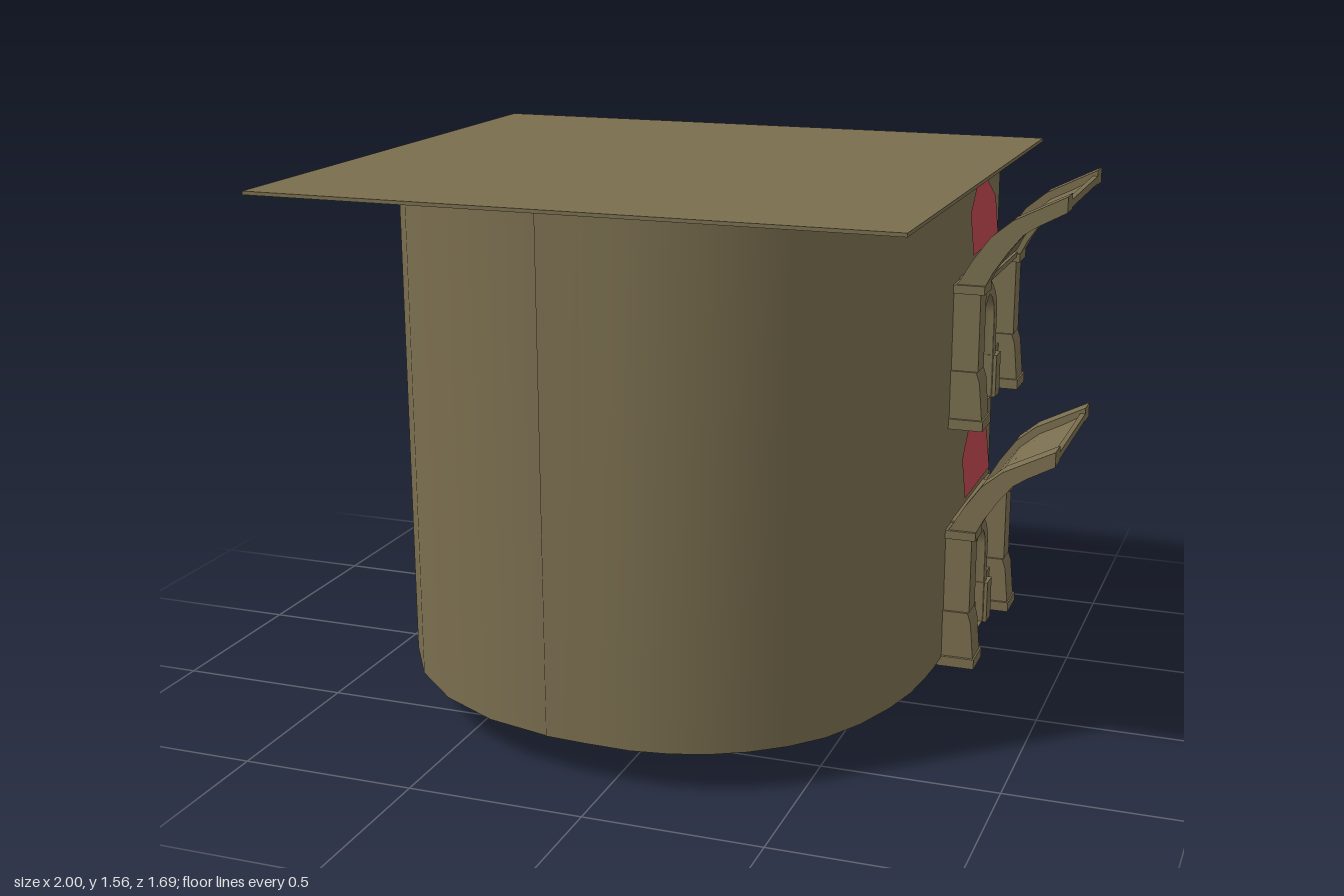
import * as THREE from 'three';
import { toCreasedNormals } from 'three/addons/utils/BufferGeometryUtils.js';

const stone = new THREE.MeshStandardMaterial({ color: 0x7a6e4f, side: THREE.DoubleSide });
stone.name = 'stone';
const glass = new THREE.MeshStandardMaterial({ color: 0xbc474e, side: THREE.DoubleSide });
glass.name = 'redGlass';
const carpet = new THREE.MeshStandardMaterial({ color: 0x743037, side: THREE.DoubleSide });
carpet.name = 'redCarpet';

const CX = -0.09, CZ = 0.02, R = 0.787, TOP = 1.555, RIM = 0.115;
const TIERS = [0.09, 0.82];

function add(parent, name, geo, mat = stone) {
  const m = new THREE.Mesh(geo, mat);
  m.name = name;
  parent.add(m);
  return m;
}

// box given by its min and max corners
function box(parent, name, x0, x1, y0, y1, z0, z1, mat) {
  const g = new THREE.BoxGeometry(x1 - x0, y1 - y0, z1 - z0);
  g.translate((x0 + x1) / 2, (y0 + y1) / 2, (z0 + z1) / 2);
  return add(parent, name, g, mat);
}

const polygon = pts => new THREE.Shape(pts.map(p => new THREE.Vector2(...p)));

// front outline (x, y) extruded forward from z
function plate(parent, name, pts, z, depth) {
  const g = new THREE.ExtrudeGeometry(polygon(pts), { depth, bevelEnabled: false });
  add(parent, name, g).position.z = z;
}

// side profile (outward, up) extruded between two positions across the unit
function profile(parent, name, pts, u0, u1) {
  const g = new THREE.ExtrudeGeometry(polygon(pts), { depth: u1 - u0, bevelEnabled: false });
  g.rotateY(-Math.PI / 2);
  g.translate(u1, 0, 0);
  return add(parent, name, toCreasedNormals(g, 0.6));
}

// pointed arch outline standing on y = base
function pointed(path, w, base, spring, peak) {
  path.moveTo(-w, base);
  path.lineTo(-w, spring);
  path.quadraticCurveTo(-w * 0.9, spring + (peak - spring) * 0.65, 0, peak);
  path.quadraticCurveTo(w * 0.9, spring + (peak - spring) * 0.65, w, spring);
  path.lineTo(w, base);
  path.closePath();
  return path;
}

// gabled window pane, leaning back about its peak
function fanlight(parent, w, base, spring, peak, lean) {
  const k = w * 0.36, h = -0.04;
  const g = new THREE.ShapeGeometry(polygon([[-w, base - peak], [w, base - peak], [w, spring - peak],
    [k, h], [0, 0], [-k, h], [-w, spring - peak]]));
  const m = add(parent, 'fanlight', g, glass);
  m.rotation.x = -lean;
  m.position.set(0, peak, 0.005);
}

// arcade: pillars, flaring canopy, pointed doorway
function arcade() {
  const g = new THREE.Group();
  g.name = 'arcade';
  const lower = [[0.09, 0.42], [0.11, 0.46], [0.15, 0.52], [0.19, 0.57], [0.23, 0.597], [0.31, 0.64]];
  const upper = [[0.31, 0.685], [0.23, 0.645], [0.16, 0.61], [0.1, 0.56], [0.05, 0.49], [0.015, 0.43], [0, 0.41]];
  for (const s of [-1, 1]) {
    const pillar = new THREE.Group();
    pillar.name = 'pillar';
    pillar.position.x = s * 0.25;
    g.add(pillar);
    box(pillar, 'pillarFoot', -0.055, 0.055, 0, 0.03, -0.01, 0.1);
    profile(pillar, 'pillarBase', [[-0.01, 0.03], [0.095, 0.03], [0.085, 0.14], [0.075, 0.17], [-0.01, 0.17]], -0.046, 0.046);
    box(pillar, 'pillarShaft', -0.038, 0.038, 0.17, 0.4, -0.01, 0.078);
    box(pillar, 'pillarCapital', -0.046, 0.046, 0.395, 0.42, -0.01, 0.09);
    profile(pillar, 'canopyRib', [...lower, ...upper], -0.036, 0.036);
    // door jamb and the low block beside it
    box(g, 'jambBase', s * 0.115 - 0.03, s * 0.115 + 0.03, 0, 0.13, -0.01, 0.055);
    box(g, 'wallBlock', s * 0.17 - 0.04, s * 0.17 + 0.04, 0.04, 0.14, -0.01, 0.035);
  }
  // canopy web between the ribs
  const web = [...lower.map(([a, b]) => [a - 0.012, b + 0.012]),
    ...upper.map(([a, b], i) => [a + (i ? 0.012 : 0), b - 0.02])];
  profile(g, 'canopy', web, -0.22, 0.22);
  profile(g, 'lintelBeam', [[-0.01, 0.385], [0.03, 0.385], [0.08, 0.41], [0.08, 0.425], [-0.01, 0.425]], -0.22, 0.22);
  box(g, 'canopyEdge', -0.22, 0.22, 0.645, 0.667, 0.295, 0.31);
  const surround = pointed(new THREE.Shape(), 0.12, 0, 0.27, 0.385);
  surround.holes.push(pointed(new THREE.Path(), 0.088, 0.0005, 0.26, 0.345));
  add(g, 'doorArch', toCreasedNormals(new THREE.ExtrudeGeometry(surround,
    { depth: 0.035, bevelEnabled: true, bevelThickness: 0.01, bevelSize: 0.008, bevelOffset: -0.008,
      bevelSegments: 2, curveSegments: 8 }), 0.7));
  fanlight(g, 0.17, 0.48, 0.6, 0.71, 0.1);
  return g;
}

// sector of a ring in plan, from angle a0 to a1 (0 = +x, 90 degrees = -z)
function sector(r0, r1, a0, a1, h) {
  const s = new THREE.Shape();
  s.absarc(0, 0, r1, a0, a1, false);
  s.absarc(0, 0, r0, a1, a0, true);
  s.closePath();
  const g = new THREE.ExtrudeGeometry(s, { depth: h, bevelEnabled: false, curveSegments: 2 });
  return g.rotateX(-Math.PI / 2);
}

export function createModel() {
  const model = new THREE.Group();
  model.name = 'stairTower';

  // roof slab
  box(model, 'roofSlab', -1, 0.79, 1.55, 1.56, -0.845, 0.845);

  // left curved wall, from the back edge round to the front seam
  const rad = Math.PI / 180, H = TOP - RIM, MID = (TOP + RIM) / 2;
  const left = new THREE.CylinderGeometry(R, R, H, 10, 1, true, -153.4 * rad, 147 * rad);
  add(model, 'leftCurvedWall', left).position.set(CX, MID, CZ);

  // right curved wall, fuller in plan, from the seam to the flat side
  const plan = new THREE.CatmullRomCurve3([[-0.185, 0.803], [0.1, 0.81], [0.33, 0.735], [0.53, 0.56],
    [0.655, 0.27], [0.69, 0], [0.69, -0.15]].map(([x, z]) => new THREE.Vector3(x, 0, z)));
  const right = new THREE.PlaneGeometry(1, H, 14, 1);
  const rp = right.attributes.position;
  for (let i = 0; i < rp.count; i++) {
    const q = plan.getPoint(rp.getX(i) + 0.5);
    rp.setX(i, q.x);
    rp.setZ(i, q.z);
  }
  right.computeVertexNormals();
  add(model, 'rightCurvedWall', right).position.y = MID;

  // flat side wall with two doorways
  const side = polygon([[-0.25, 0.09], [0.3, 0.09], [0.3, TOP], [-0.25, TOP]]);
  for (const y of TIERS) side.holes.push(pointed(new THREE.Path(), 0.088, y + 0.002, y + 0.26, y + 0.345));
  const sideWall = add(model, 'sideWall', new THREE.ShapeGeometry(side, 8));
  sideWall.rotation.y = Math.PI / 2;
  sideWall.position.set(0.69, 0, -0.4);

  // flat back wall, with a shallow cove along its foot
  box(model, 'backWall', -0.45, 0.69, 0.5, TOP, -0.7, -0.69);
  const cove = new THREE.PlaneGeometry(1.14, 0.385, 6, 8);
  const p = cove.attributes.position;
  for (let i = 0; i < p.count; i++) {
    const t = 0.5 - p.getY(i) / 0.385, fade = 0.5 - p.getX(i) / 1.14;
    p.setZ(i, 0.03 * fade * t * t * t - 0.025 * Math.sin(Math.PI * t));
  }
  cove.computeVertexNormals();
  cove.rotateY(Math.PI);
  add(model, 'backCove', cove).position.set(0.12, 0.3075, -0.7);

  // arcades on the right side, shallow pilasters on the back
  TIERS.forEach((y, i) => {
    const a = arcade();
    a.rotation.y = Math.PI / 2;
    a.position.set(0.69, y, -0.4);
    model.add(a);
    const d = i ? 0 : 0.02;
    for (const [x, w] of [[0.645, 0.045], [0.11, 0.012], [-0.04, 0.018]]) {
      box(model, 'backPilaster', x - w, x + w, y + 0.15, y + 0.42, -0.712 - d, -0.68);
      box(model, 'backPilasterBase', x - w * 1.4, Math.min(x + w * 1.4, 0.7), y, y + 0.15, -0.73 - d / 2, -0.68);
    }
  });

  // quarter floors, the lower one thicker, with red at its threshold
  box(model, 'lowerFloor', CX, 0.65, 0.083, 0.118, -0.73, 0);
  box(model, 'upperFloor', CX, 0.66, 0.81, 0.83, -0.69, 0);
  box(model, 'threshold', 0.65, 0.695, 0.085, 0.12, -0.488, -0.312, carpet);
  plate(model, 'floorToe', [[-0.4, 0.118], [-0.2, 0.083], [CX, 0.083], [CX, 0.118]], -0.7, 0.03);

  // sloping ledge across the back wall, and its fanlight
  plate(model, 'backLedge', [[0.69, 0.97], [0.69, 0.985], [-0.1, 0.8], [-0.1, 0.785]], -0.706, 0.012);
  const backLight = new THREE.Group();
  backLight.name = 'backFanlight';
  backLight.rotation.y = Math.PI;
  backLight.position.set(0.33, 0, -0.7);
  fanlight(backLight, 0.165, 0.58, 0.6, 0.775, 0);
  model.add(backLight);

  // spiral stair: three quarters of a turn around the newel
  const stair = new THREE.Group();
  stair.name = 'spiralStair';
  stair.position.set(CX, 0, CZ);
  model.add(stair);
  const N = 24, a0 = 98 * rad, da = (360 * rad - a0) / N, rise = (TIERS[1] - 0.14) / N;
  for (let i = 0; i < N; i++) {
    const a = a0 + i * da, y = RIM + i * rise;
    add(stair, 'step', sector(0.2, 0.72, a, a + da, 0.033), carpet).position.y = y + 0.003;
    add(stair, 'stepCurb', sector(0.72, 0.765, a, a + da, 0.036)).position.y = y;
  }
  const newel = new THREE.CylinderGeometry(0.2, 0.2, TOP - 0.12, 20, 1, true);
  add(stair, 'newelColumn', newel).position.y = (TOP + 0.12) / 2;

  // small post and brace under the floor
  box(model, 'footPost', 0, 0.07, 0, 0.1, -0.13, -0.07);
  plate(model, 'footBrace', [[-0.17, 0.12], [0, 0.02], [0.07, 0.005], [0.07, 0.12]], -0.175, 0.035);

  return model;
}
